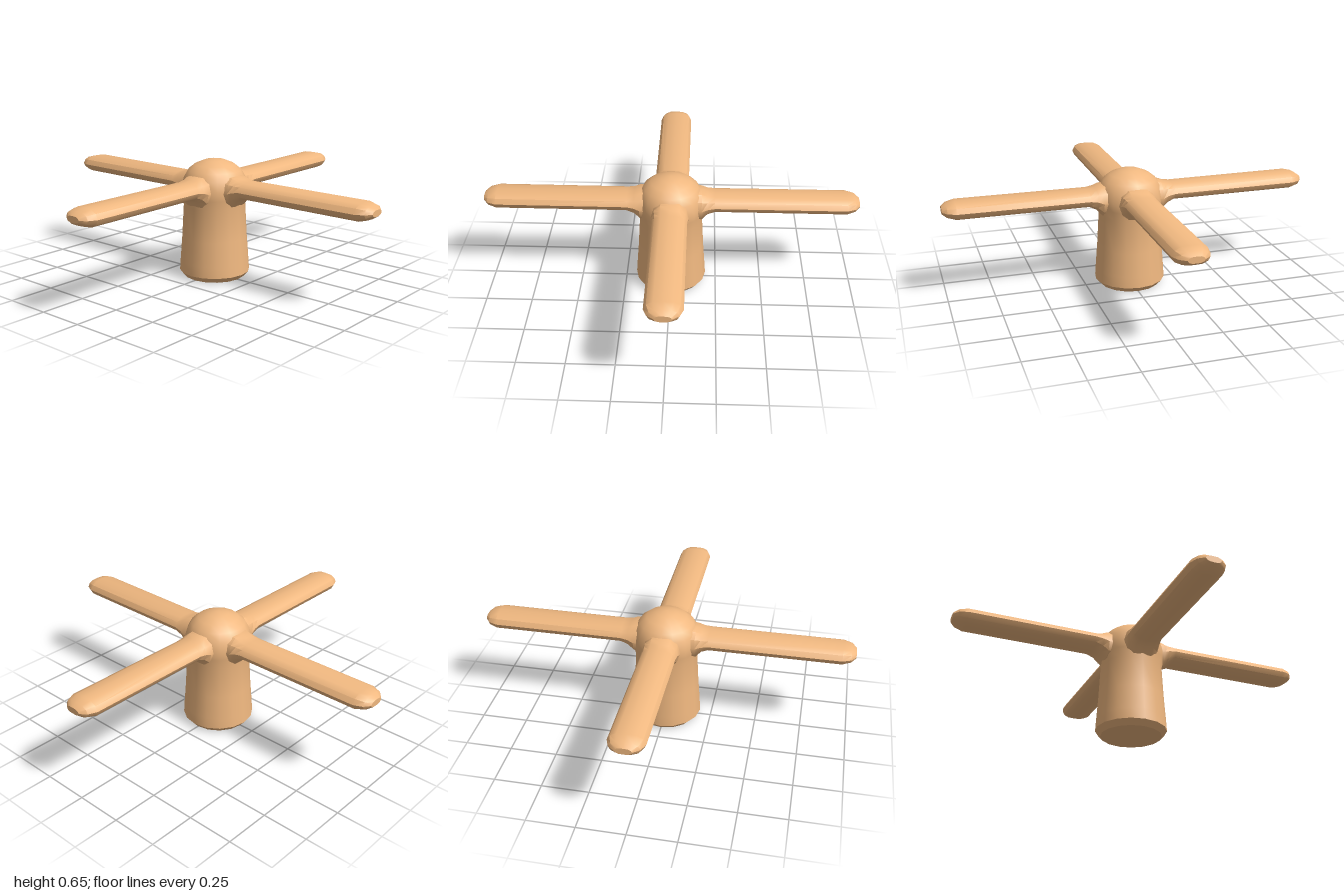
import * as THREE from 'three';
import { toCreasedNormals } from 'three/addons/utils/BufferGeometryUtils.js';

const material = new THREE.MeshStandardMaterial({ color: 0xf0b880 });

// Unit cross-section of a blade as [z, y], running from top towards +z
const SECTION = [[0, 1], [0.5, 0.95], [0.85, 0.6], [1, 0], [0.85, -0.6], [0.5, -0.95],
  [0, -1], [-0.5, -0.95], [-0.85, -0.6], [-1, 0], [-0.85, 0.6], [-0.5, 0.95]];

// Stations along a blade: [distance, half width, bottom, top]
const STATIONS = [
  [0.08, 0.1, 0.4, 0.58],
  [0.165, 0.1, 0.41, 0.572],
  [0.195, 0.095, 0.445, 0.56],
  [0.235, 0.092, 0.465, 0.553],
  [0.93, 0.092, 0.465, 0.555],
  [0.975, 0.075, 0.478, 0.545],
  [1.0, 0.042, 0.495, 0.528],
];

// Lofts the section through the stations along +x and caps the tip
function bladeGeometry() {
  const n = SECTION.length;
  const positions = [];
  const index = [];
  for (const [x, half, bottom, top] of STATIONS) {
    for (const [z, y] of SECTION) {
      positions.push(x, (top + bottom) / 2 + (y * (top - bottom)) / 2, z * half);
    }
  }
  for (let i = 0; i < STATIONS.length - 1; i++) {
    for (let k = 0; k < n; k++) {
      const a = i * n + k;
      const b = i * n + ((k + 1) % n);
      index.push(a, b, a + n, b, b + n, a + n);
    }
  }
  const last = (STATIONS.length - 1) * n;
  for (let k = 1; k < n - 1; k++) index.push(last, last + k, last + k + 1);

  const geometry = new THREE.BufferGeometry();
  geometry.setAttribute('position', new THREE.Float32BufferAttribute(positions, 3));
  geometry.setIndex(index);
  return toCreasedNormals(geometry, 0.65);
}

export function createModel() {
  const model = new THREE.Group();
  model.name = 'fourArmRotor';

  // Tapered post with a bevelled foot and a domed cap
  const profile = [
    [0, 0.005], [0.165, 0], [0.192, 0.03], [0.188, 0.09], [0.178, 0.22], [0.168, 0.4],
    [0.178, 0.45], [0.18, 0.5], [0.167, 0.55], [0.145, 0.59], [0.108, 0.62],
    [0.055, 0.642], [0, 0.652],
  ].map(([r, y]) => new THREE.Vector2(r, y));
  const body = new THREE.Mesh(
    toCreasedNormals(new THREE.LatheGeometry(profile, 16), 0.65), material);
  body.name = 'domedPost';
  model.add(body);

  // Four flat blades with flared roots
  const blade = bladeGeometry();
  ['leftBlade', 'backBlade', 'rightBlade', 'frontBlade'].forEach((name, i) => {
    const mesh = new THREE.Mesh(blade, material);
    mesh.name = name;
    mesh.rotation.y = (i * Math.PI) / 2;
    model.add(mesh);
  });

  return model;
}
